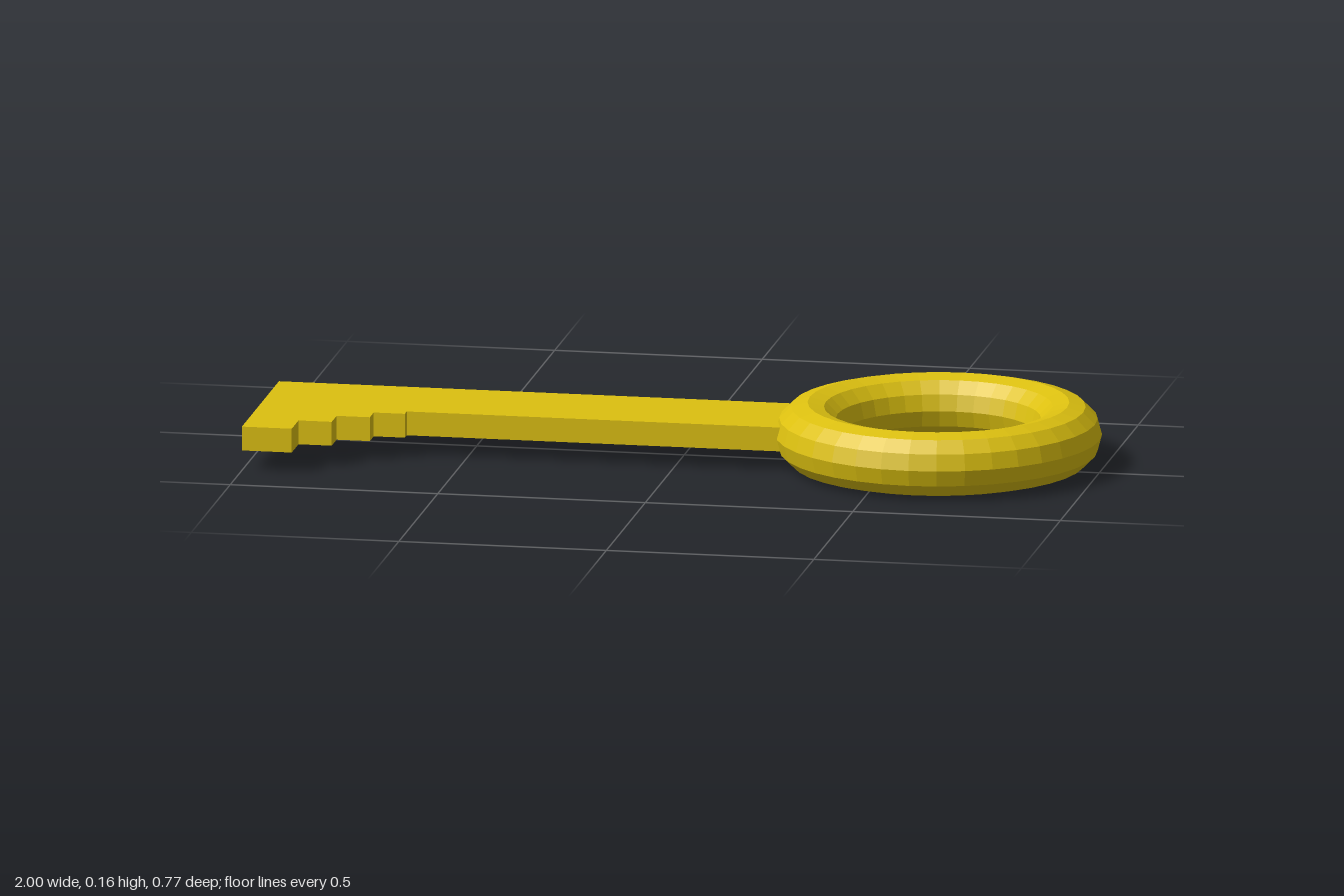
import * as THREE from 'three';

const MID_Y = 0.0775; // height of the key's middle plane

export function createModel() {
  const key = new THREE.Group();
  key.name = 'key';
  const gold = new THREE.MeshStandardMaterial({ color: 0xdcc010, flatShading: true });

  // Ring-shaped handle, lying flat
  const ringGeometry = new THREE.TorusGeometry(0.31, MID_Y, 12, 36);
  ringGeometry.rotateX(Math.PI / 2);
  const ring = new THREE.Mesh(ringGeometry, gold);
  ring.name = 'handleRing';
  ring.position.set(0.6125, MID_Y, 0);
  key.add(ring);

  // Flat blade outline in x and z; its end is buried in the ring
  const halfWidth = 0.125, thickness = 0.058;
  const outline = new THREE.Shape();
  outline.moveTo(0.3, halfWidth);
  outline.lineTo(0.3, -halfWidth);
  outline.lineTo(-1, -halfWidth);
  // Stepped bit: each step is [right edge x, depth z]
  const steps = [[-0.88, 0.35], [-0.8, 0.263], [-0.72, 0.2], [-0.645, 0.15]];
  let x = -1;
  for (const [edge, depth] of steps) {
    outline.lineTo(x, depth);
    outline.lineTo(edge, depth);
    x = edge;
  }
  outline.lineTo(x, halfWidth);
  outline.closePath();

  const bladeGeometry = new THREE.ExtrudeGeometry(outline, { depth: thickness, bevelEnabled: false });
  bladeGeometry.rotateX(Math.PI / 2);
  const blade = new THREE.Mesh(bladeGeometry, gold);
  blade.name = 'blade';
  blade.position.y = MID_Y + thickness / 2;
  key.add(blade);

  return key;
}
